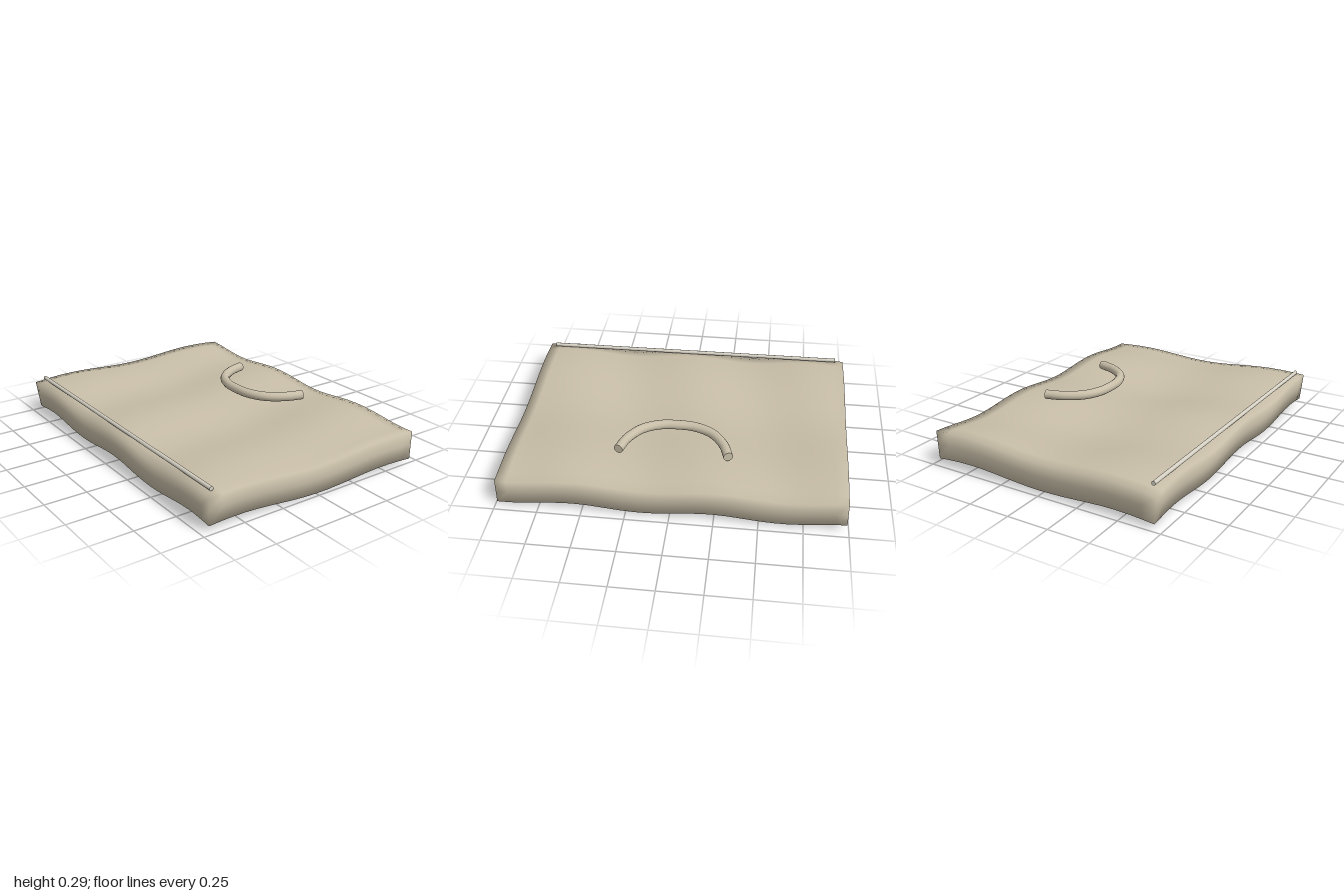
import * as THREE from 'three';
import { mergeVertices } from 'three/addons/utils/BufferGeometryUtils.js';

const WAVE = 0.014, KX = 8, SKEW = -1.6, PHASE = 0.86, KZ = Math.PI * 2;

// Height and slopes of the rippled middle surface
function ripple(x, z) {
  const p = KX * x + SKEW * z + PHASE;
  return {
    y: 0.11 + WAVE * (Math.cos(p) - Math.cos(KZ * z)),
    dx: -WAVE * KX * Math.sin(p),
    dz: WAVE * (KZ * Math.sin(KZ * z) - SKEW * Math.sin(p)),
  };
}

// Thick slab bent along the ripples, its thickness following the surface normal
function slabGeometry() {
  let geo = new THREE.BoxGeometry(1.97, 0.165, 1.42, 30, 2, 18);
  geo.deleteAttribute('normal');
  geo.deleteAttribute('uv');
  geo = mergeVertices(geo); // shared corners give soft, cushioned edges
  const pos = geo.attributes.position;
  const normal = new THREE.Vector3();
  for (let i = 0; i < pos.count; i++) {
    const x = pos.getX(i), t = pos.getY(i), z = pos.getZ(i);
    const r = ripple(x, z);
    normal.set(-r.dx, 1, -r.dz).normalize();
    pos.setXYZ(i, x + normal.x * t, r.y + normal.y * t, z + normal.z * t);
  }
  geo.computeVertexNormals();
  return geo;
}

export function createModel() {
  const model = new THREE.Group();
  const tan = new THREE.MeshStandardMaterial({ color: 0xc8bea8 });
  const pale = new THREE.MeshStandardMaterial({ color: 0xd6d1c4 });
  const add = (name, geo, mat, parent = model) => {
    const mesh = new THREE.Mesh(geo, mat);
    mesh.name = name;
    parent.add(mesh);
    return mesh;
  };

  add('cushion', slabGeometry(), tan);

  // Curved handle floating level above the back half
  const handle = new THREE.Group();
  handle.name = 'handle';
  model.add(handle);
  const half = [[0.315, -0.45], [0.28, -0.345], [0.205, -0.245], [0.1, -0.194]];
  const points = [
    ...half.map(([x, z]) => new THREE.Vector3(-x, 0, z)),
    new THREE.Vector3(0, 0, -0.185),
    ...half.map(([x, z]) => new THREE.Vector3(x, 0, z)).reverse(),
  ];
  const path = new THREE.CatmullRomCurve3(points);
  add('handleGrip', new THREE.TubeGeometry(path, 48, 0.028, 16), tan, handle);
  for (const end of [0, 1]) {
    const cap = add('handleEnd', new THREE.CircleGeometry(0.028, 16), tan, handle);
    cap.position.copy(path.getPointAt(end));
    const out = path.getTangentAt(end).multiplyScalar(end ? 1 : -1);
    cap.quaternion.setFromUnitVectors(new THREE.Vector3(0, 0, 1), out);
  }
  handle.position.set(0.007, 0.26, 0);

  // Thin rod along the front edge, dipping slightly to one side
  const rod = add('frontRod', new THREE.CylinderGeometry(0.012, 0.012, 1.89, 12), pale);
  rod.rotation.z = Math.PI / 2 - 0.004;
  rod.position.set(0.006, 0.226, 0.672);

  return model;
}
